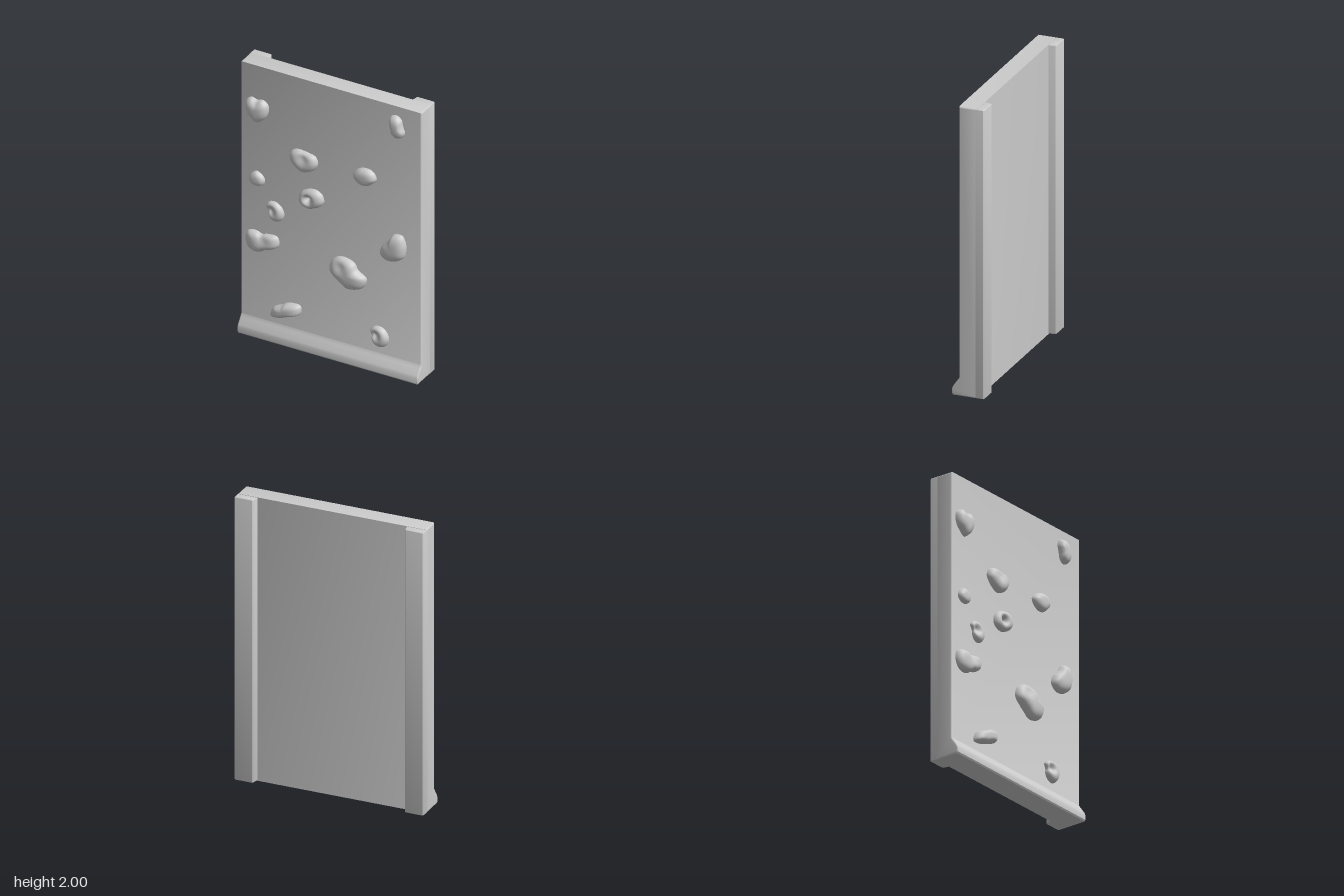
import * as THREE from 'three';
import { toCreasedNormals } from 'three/addons/utils/BufferGeometryUtils.js';

const FACE = 0.055; // z of the climbing face
const material = new THREE.MeshStandardMaterial({ color: 0xcccccc });

function mesh(name, geometry) {
  const m = new THREE.Mesh(geometry, material);
  m.name = name;
  return m;
}

// Extrusion with softened edges that keeps to its outline and total depth
function extrude(points, depth, bevel) {
  const shape = new THREE.Shape(points.map(([x, y]) => new THREE.Vector2(x, y)));
  const g = new THREE.ExtrudeGeometry(shape, {
    depth: depth - 2 * bevel, bevelThickness: bevel, bevelSize: bevel, bevelOffset: -bevel, bevelSegments: 3,
  });
  return g.translate(0, 0, bevel - depth / 2);
}

// Smooth dome over a closed outline; radii (hundredths) run anticlockwise from +x.
// dimple = [dx, dy, radius, depth]
function hold(name, x, y, height, radii, dimple) {
  const n = radii.length, around = 48, rings = 16;
  const outline = new THREE.CatmullRomCurve3(radii.map((r, i) => {
    const a = (i / n) * Math.PI * 2;
    return new THREE.Vector3(Math.cos(a) * r / 100, Math.sin(a) * r / 100, 0);
  }), true);
  const rim = Array.from({ length: around }, (_, i) => outline.getPoint(i / around));
  const pos = [], index = [];
  const addPoint = (px, py, s) => {
    let z = height * Math.sqrt(1 - s ** 3.2);
    if (dimple) {
      const [dx, dy, r, depth] = dimple;
      z -= depth * Math.exp(-((px - dx) ** 2 + (py - dy) ** 2) / (r * r)) * (1 - s ** 4);
    }
    pos.push(px, py, z);
  };
  for (let j = 0; j < rings; j++) {
    const s = 1 - (j / rings) ** 1.6;
    for (const p of rim) addPoint(p.x * s, p.y * s, s);
  }
  addPoint(0, 0, 0);
  const centre = rings * around;
  for (let j = 0; j < rings; j++) {
    for (let i = 0; i < around; i++) {
      const k = (i + 1) % around, a = j * around + i, b = j * around + k;
      if (j === rings - 1) index.push(a, b, centre);
      else index.push(a, b, b + around, a, b + around, a + around);
    }
  }
  const g = new THREE.BufferGeometry();
  g.setAttribute('position', new THREE.Float32BufferAttribute(pos, 3));
  g.setIndex(index);
  g.computeVertexNormals();
  const m = mesh(name, g);
  m.position.set(x, y, FACE - 0.004);
  return m;
}

export function createModel() {
  const model = new THREE.Group();
  model.name = 'climbingWall';

  // Panel with a flared foot: side profile as [-z, y], swept across x
  const panel = extrude([
    [0.07, 0], [0.07, 2], [-FACE, 2], [-FACE, 0.125], [-0.068, 0.105],
    [-0.098, 0.062], [-0.105, 0.045], [-0.105, 0.01], [-0.098, 0],
  ], 1.33, 0.01).rotateY(Math.PI / 2);
  model.add(mesh('panel', toCreasedNormals(panel, 0.6)));

  // Tapered rails up the back edges: plan as [x, -z]
  for (const side of [1, -1]) {
    const rail = extrude([
      [0.665, 0.058], [0.665, 0.114], [0.659, 0.12], [0.541, 0.12], [0.534, 0.114], [0.523, 0.058],
    ].map(([x, y]) => [side * x, y]), 1.996, 0.004).rotateX(-Math.PI / 2).translate(0, 1, 0);
    model.add(mesh(side > 0 ? 'leftRail' : 'rightRail', toCreasedNormals(rail, 0.6)));
  }

  // Hand and foot holds
  const holds = new THREE.Group();
  holds.name = 'holds';
  holds.add(
    hold('heartHold', -0.54, 1.685, 0.058, [8.2, 9, 8.5, 6.4, 8.7, 9.3, 8.5, 8.2, 8.2, 10, 8.5, 8], [0, 0.07, 0.03, 0.02]),
    hold('topHold', 0.49, 1.85, 0.053, [4.5, 4.5, 6.4, 8.2, 8.5, 6.6, 5, 5, 6.9, 8.2, 7.7, 6.4]),
    hold('pocketHold', -0.2, 1.4, 0.056, [10.6, 10, 7.4, 6.9, 8.2, 10, 10.1, 8.5, 8, 8.5, 8.5, 9.5], [0.01, 0.03, 0.04, 0.018]),
    hold('roundHold', 0.25, 1.41, 0.05, [8.7, 8.2, 7.2, 6.4, 6.4, 7, 8.5, 7.7, 6.9, 6.6, 6.6, 7]),
    hold('smallHold', -0.543, 1.16, 0.04, [5.8, 5.5, 5.3, 5.8, 5.4, 5.4, 5.8, 5.6, 5, 4.8, 5, 5.6]),
    hold('ringHold', -0.145, 1.13, 0.052, [9.5, 9.5, 8.5, 7.2, 6.9, 7.7, 8.7, 9.3, 8.2, 7.4, 6.9, 8], [-0.012, 0, 0.027, 0.045]),
    hold('upperCurlHold', -0.41, 0.955, 0.045, [6.6, 6.4, 6.6, 7.2, 7.7, 7.4, 4.6, 5, 6.1, 6.9, 7.1, 6.9], [-0.022, 0.01, 0.03, 0.03]),
    hold('wingHold', 0.464, 0.938, 0.06, [9, 10.3, 12.6, 10.4, 6.6, 6.4, 8.4, 11.4, 11, 9.5, 8.8, 9]),
    hold('sideHold', -0.506, 0.705, 0.058, [12.4, 13, 7.6, 5.5, 8, 11.7, 12, 11.4, 9.3, 7.2, 6, 8], [0.02, 0.04, 0.04, 0.015]),
    hold('bigHold', 0.125, 0.652, 0.066, [13.8, 8.8, 10.3, 11.1, 12.7, 13.6, 13, 9.5, 8.7, 10.6, 11.8, 13.8], [-0.04, 0.06, 0.04, 0.015]),
    hold('footHold', -0.33, 0.245, 0.064, [10.6, 12.2, 7.4, 5.2, 4.2, 5.2, 9, 12.6, 7, 4.8, 4.4, 5.6]),
    hold('lowerCurlHold', 0.358, 0.254, 0.05, [6.9, 6.6, 6.9, 7.1, 7.4, 7.4, 5.2, 6.1, 6.9, 7.7, 7.7, 7.2], [-0.02, 0.012, 0.03, 0.032]),
  );
  model.add(holds);
  return model;
}
